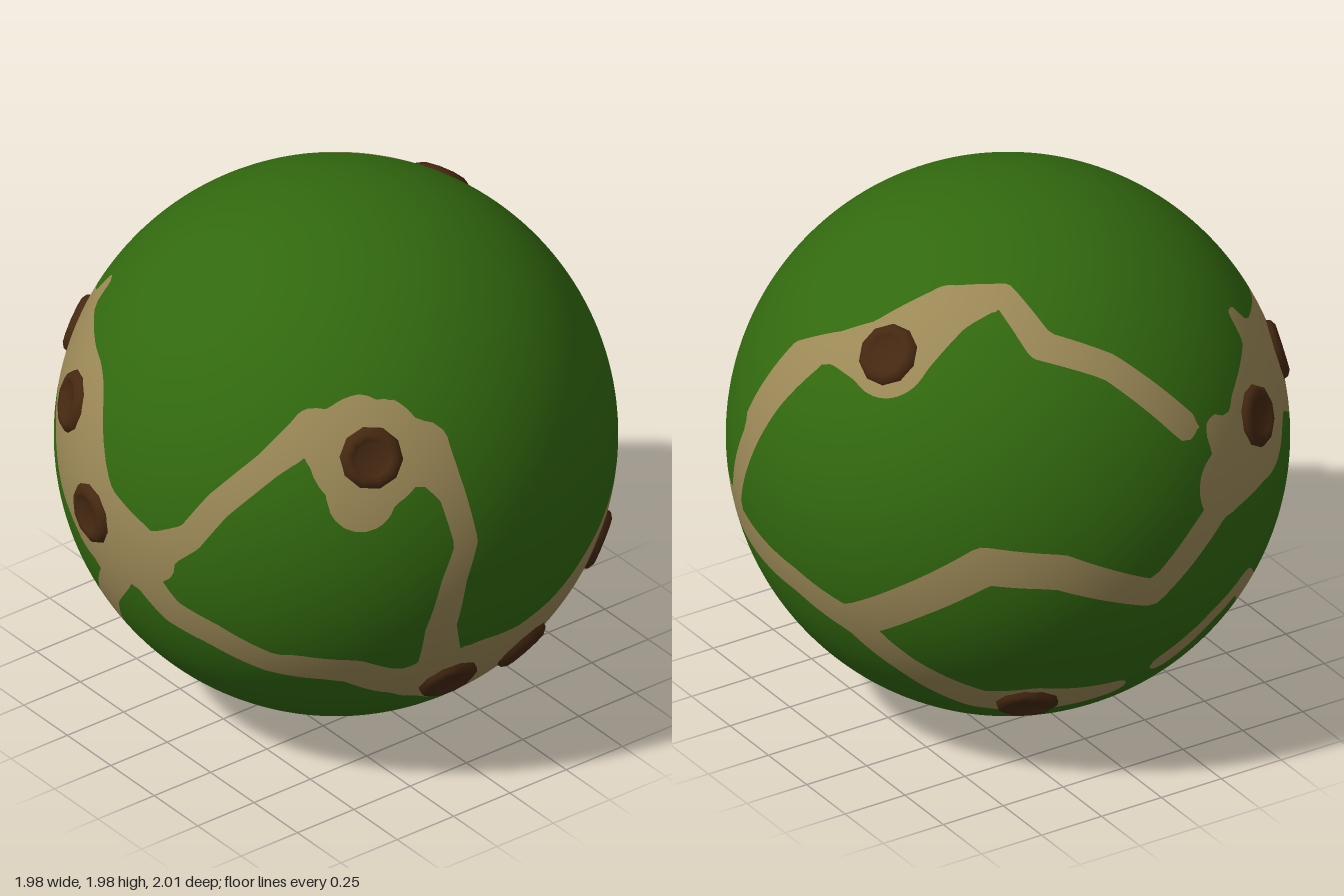
import * as THREE from 'three';

const R = 0.992, CENTRE_Y = 0.997;
const V = (x, y, z) => new THREE.Vector3(x, y, z);

// Returns a function placing flat (u, v) onto the globe as seen from an azimuth and elevation
function frame(azimuth, elevation) {
  const a = THREE.MathUtils.degToRad(azimuth), e = THREE.MathUtils.degToRad(elevation);
  const right = V(Math.cos(a), 0, -Math.sin(a));
  const up = V(-Math.sin(a) * Math.sin(e), Math.cos(e), -Math.cos(a) * Math.sin(e));
  const out = V(Math.sin(a) * Math.cos(e), Math.sin(e), Math.cos(a) * Math.cos(e));
  return (u, v) => V(0, 0, 0).addScaledVector(right, u).addScaledVector(up, v)
    .addScaledVector(out, Math.sqrt(Math.max(0, R * R - u * u - v * v))).setLength(R);
}
const front = frame(0, 0), side = frame(90, 0), top = frame(0, 90), back = frame(215, 25);

// Winding trails: each point is [u, v, half width]
const trails = [];
const trail = (place, ...points) => trails.push(points.map(([u, v, r]) => ({ p: place(u, v), r })));

// Broad front clearing, with a small spur on top
trail(front, [-.93, .15, .13], [-.78, .25, .21], [-.62, .37, .17], [-.38, .26, .24],
  [-.27, .1, .23], [-.14, -.02, .2], [.1, -.06, .155], [.2, -.03, .1]);
trail(front, [-.62, .42, .1], [-.565, .57, .035]);
// Front trail climbing to the upper left clearing
trail(front, [.22, 0, .07], [.35, .1, .05], [.43, .25, .05], [.54, .42, .05], [.6, .54, .07]);
// Upper left clearing and the trail down the side
trail(side, [-.57, .54, .08], [-.44, .47, .21], [-.26, .46, .1], [-.2, .3, .05],
  [-.17, .1, .045], [-.22, -.04, .05], [-.25, -.25, .06], [-.22, -.4, .08]);
trail(side, [-.44, .45, .18], [-.5, .32, .12]);
// Lower left trail opening into the long side clearing
trail(front, [.15, -.14, .08], [.25, -.25, .07], [.4, -.3, .065], [.55, -.39, .06], [.66, -.41, .06]);
trail(side, [-.66, -.39, .06], [-.5, -.42, .07], [-.36, -.5, .08], [-.22, -.52, .14], [-.05, -.55, .2],
  [.13, -.58, .23], [.32, -.54, .24], [.5, -.43, .22], [.68, -.33, .22], [.8, -.26, .14]);
// Front trail to the lower right, turning under to the back
trail(front, [0, -.2, .07], [-.11, -.34, .06], [-.24, -.55, .07], [-.37, -.6, .055], [-.58, -.52, .05],
  [-.7, -.45, .06], [-.8, -.35, .05], [-.83, -.44, .05], [-.8, -.57, .06]);
trail(back, [.57, -.8, .07], [.36, -.875, .12], [.19, -.9, .09], [-.03, -.81, .065], [-.2, -.69, .07]);
// Trail around the back
trail(back, [-.95, -.23, .08], [-.77, -.42, .07], [-.46, -.58, .06], [-.22, -.68, .07], [.03, -.56, .07],
  [.3, -.38, .075], [.54, -.36, .07], [.79, -.4, .055], [.9, -.18, .06], [.95, .01, .06], [.9, .2, .06]);
// Trail up the back and over the shoulder
trail(back, [-.79, -.37, .05], [-.72, -.15, .055], [-.6, .065, .055], [-.46, .23, .055]);
trail(top, [.2, .94, .055], [.08, .83, .05], [-.08, .77, .06], [-.29, .68, .155], [-.34, .47, .1],
  [-.42, .29, .045], [-.62, .26, .055], [-.75, .06, .05], [-.89, -.17, .055]);

// Positive on sand, negative on grass
function sandField(p) {
  let f = -1;
  for (const t of trails) {
    for (let i = 0; i + 1 < t.length; i++) {
      const a = t[i], b = t[i + 1], d = b.p.clone().sub(a.p);
      const k = THREE.MathUtils.clamp(p.clone().sub(a.p).dot(d) / d.lengthSq(), 0, 1);
      const near = a.p.clone().addScaledVector(d, k).setLength(R);
      f = Math.max(f, a.r + (b.r - a.r) * k - near.distanceTo(p));
    }
  }
  return f;
}

// Split the globe's triangles along the border into two surfaces
function splitGlobe() {
  const g = new THREE.SphereGeometry(R, 160, 100), pos = g.attributes.position, idx = g.index.array;
  const verts = [];
  for (let i = 0; i < pos.count; i++) {
    const p = V(0, 0, 0).fromBufferAttribute(pos, i);
    verts.push({ p, f: sandField(p) });
  }
  const build = sign => {
    const points = [];
    for (let i = 0; i < idx.length; i += 3) {
      const poly = [];
      for (let j = 0; j < 3; j++) {
        const a = verts[idx[i + j]], b = verts[idx[i + (j + 1) % 3]];
        if (a.f * sign >= 0) poly.push(a.p);
        if (a.f * b.f < 0) poly.push(a.p.clone().lerp(b.p, a.f / (a.f - b.f)));
      }
      for (let k = 1; k + 1 < poly.length; k++) points.push(poly[0], poly[k], poly[k + 1]);
    }
    const out = new THREE.BufferGeometry().setFromPoints(points);
    const normals = points.flatMap(p => p.clone().normalize().toArray());
    out.setAttribute('normal', new THREE.Float32BufferAttribute(normals, 3));
    return out;
  };
  return { grass: build(-1), sand: build(1) };
}

export function createModel() {
  const group = new THREE.Group();
  const material = (name, color) => {
    const m = new THREE.MeshStandardMaterial({ color });
    m.name = name;
    return m;
  };
  const green = material('grass green', 0x32690f);
  const tan = material('sand tan', 0x9c8957);
  const brown = material('earth brown', 0x452811);

  const globe = new THREE.Group();
  globe.name = 'globe';
  globe.position.y = CENTRE_Y;
  group.add(globe);
  const add = (name, geometry, mat) => {
    const mesh = new THREE.Mesh(geometry, mat);
    mesh.name = name;
    globe.add(mesh);
    return mesh;
  };
  const { grass, sand } = splitGlobe();
  add('grassSurface', grass, green);
  add('sandTrails', sand, tan);

  // Low ring-shaped mounds with a shallow bowl
  const profile = [[.116, -.015], [.108, .008], [.088, .02], [.068, .018], [.052, .004], [0, .002]];
  const mound = new THREE.LatheGeometry(profile.map(([r, y]) => new THREE.Vector2(r, y)), 10);
  const mounds = [
    [-.78, .28, .54], [-.4, .27, .86], [-.14, -.02, .98], [.76, .45, .43], [.8, -.57, .12],
    [.77, -.58, -.23], [.68, -.34, -.63], [-.28, .66, -.68], [-.64, -.68, -.33],
  ];
  for (const m of mounds) {
    const dir = V(...m).normalize();
    const mesh = add('mound', mound, brown);
    mesh.position.copy(dir).multiplyScalar(R);
    mesh.quaternion.setFromUnitVectors(V(0, 1, 0), dir);
  }
  return group;
}
